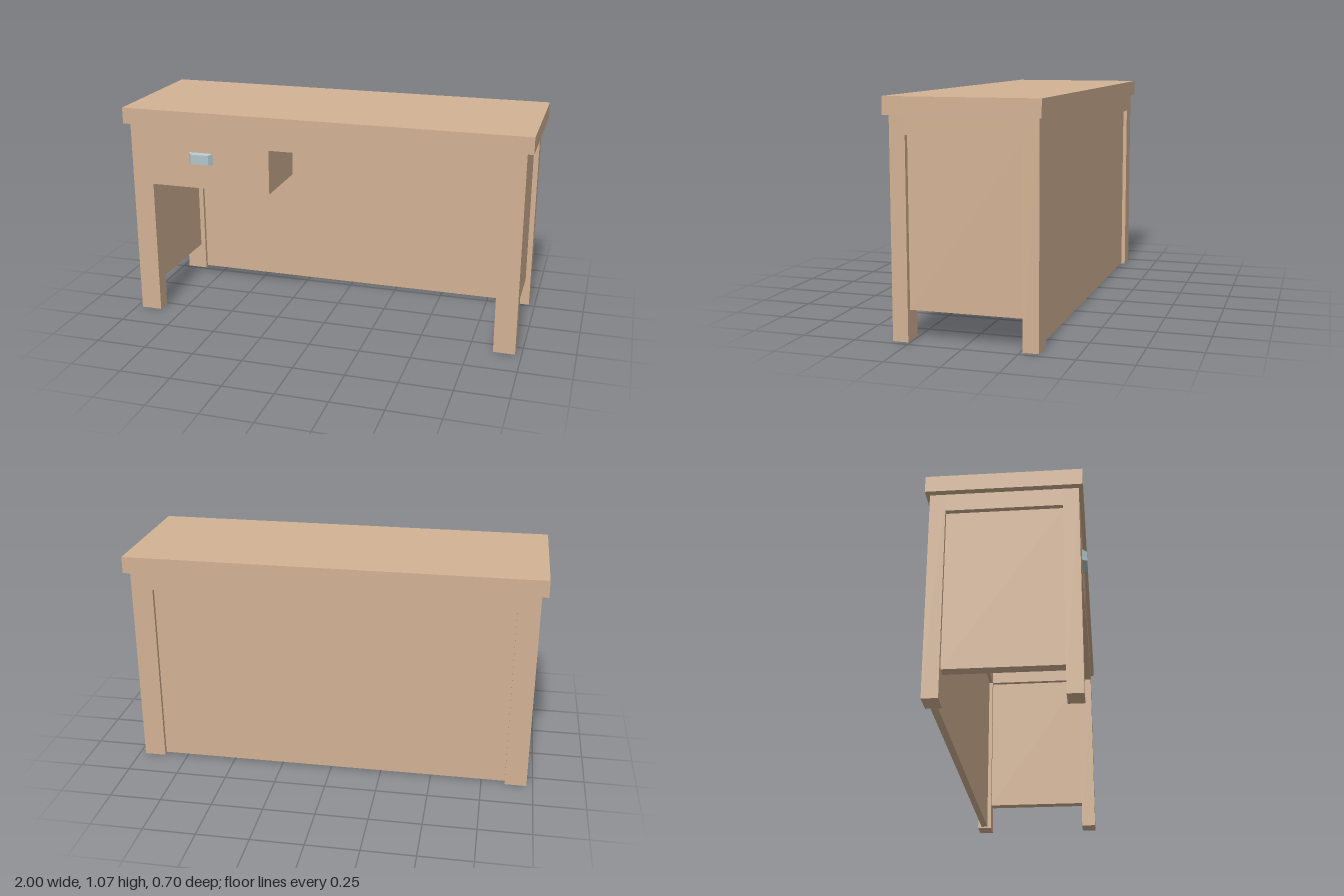
import * as THREE from 'three';

export function createModel() {
  const desk = new THREE.Group();
  desk.name = 'desk';
  const wood = new THREE.MeshStandardMaterial({ color: 0xd2b294, flatShading: true });
  const metal = new THREE.MeshStandardMaterial({ color: 0xb2c6cc, flatShading: true });

  const zMid = -0.002;                 // the handle pushes the body slightly back
  const halfW = 0.97, halfD = 0.332;   // outside of the leg frame
  const legW = 0.105, legD = 0.072;
  const inX = halfW - legW, inZ = halfD - legD;
  const bodyTop = 0.99, railBottom = 0.905;

  const add = (name, geometry, material = wood) => {
    const mesh = new THREE.Mesh(geometry, material);
    mesh.name = name;
    desk.add(mesh);
    return mesh;
  };
  // Box given by its limits on each axis
  const box = (name, [x0, x1], [y0, y1], [z0, z1]) =>
    add(name, new THREE.BoxGeometry(x1 - x0, y1 - y0, z1 - z0))
      .position.set((x0 + x1) / 2, (y0 + y1) / 2, (z0 + z1) / 2 + zMid);
  // Two legs and the rail above them, cut from one outline
  const frame = (name, opening, z0) => {
    const shape = new THREE.Shape([
      [-halfW, 0], [-inX, 0], ...opening, [inX, 0], [halfW, 0], [halfW, bodyTop], [-halfW, bodyTop],
    ].map(([x, y]) => new THREE.Vector2(x, y)));
    add(name, new THREE.ExtrudeGeometry(shape, { depth: legD, bevelEnabled: false }))
      .position.z = z0 + zMid;
  };

  // Table top
  box('tableTop', [-1, 1], [bodyTop, 1.07], [-0.35, 0.35]);

  // Front frame steps down around the drawer, back frame is plain
  const drawerX = -0.25, drawerBottom = 0.685;
  frame('frontFrame', [
    [-inX, drawerBottom], [drawerX, drawerBottom], [drawerX, railBottom], [inX, railBottom],
  ], inZ);
  frame('backFrame', [[-inX, railBottom], [inX, railBottom]], -halfD);

  // Side rails and recessed side panels
  for (const [side, s] of [['left', 1], ['right', -1]]) {
    const span = (a, b) => [s * a, s * b].sort((p, q) => p - q);
    box(side + 'Rail', span(inX, halfW), [railBottom, bodyTop], [-inZ, inZ]);
    box(side + 'Panel', span(inX + 0.025, halfW - 0.025), [0.14, railBottom], [-inZ, inZ]);
  }

  // Recessed back panel
  box('backPanel', [-inX, inX], [0.007, railBottom], [-halfD + 0.02, -inZ - 0.02]);

  // Drawer box behind the front frame
  box('drawerBox', [-inX - 0.025, drawerX], [drawerBottom, bodyTop], [-0.02, inZ]);

  // Handle: block tapering towards its front face
  const handle = new THREE.BoxGeometry(0.124, 0.058, 0.023);
  const p = handle.attributes.position;
  for (let i = 0; i < p.count; i++) {
    if (p.getZ(i) > 0) p.setXY(i, p.getX(i) * 0.74, p.getY(i) * 0.82);
  }
  handle.computeVertexNormals();
  add('drawerHandle', handle, metal).position.set(-0.6, 0.837, halfD + zMid + 0.0115);

  return desk;
}
